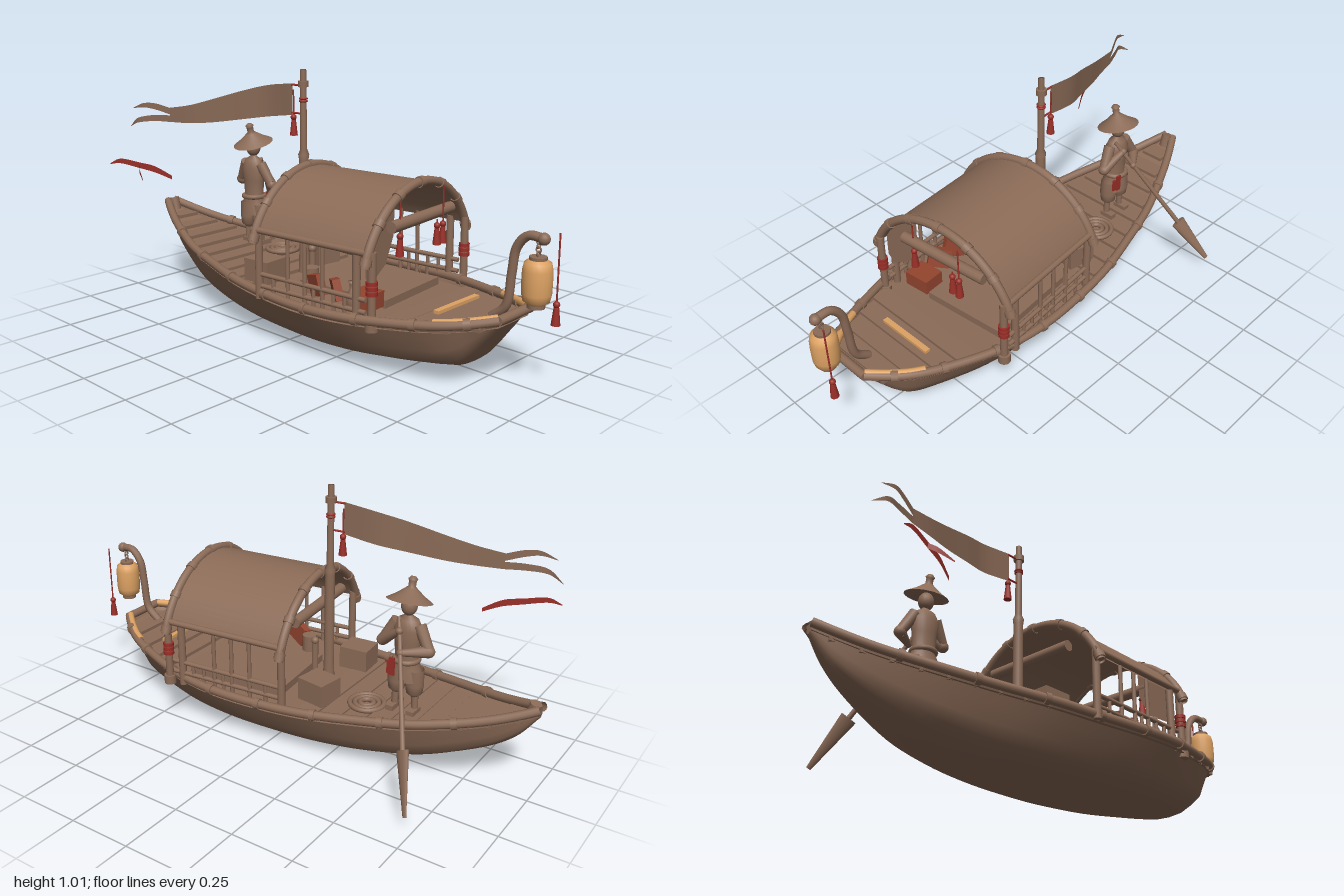
import * as THREE from 'three';

const V = (x, y, z) => new THREE.Vector3(x, y, z);
const brown = new THREE.MeshStandardMaterial({ color: 0x8b6b57, side: THREE.DoubleSide });
brown.name = 'warmBrown';
const red = new THREE.MeshStandardMaterial({ color: 0x9a2f28, side: THREE.DoubleSide });
red.name = 'deepRed';
const glow = new THREE.MeshStandardMaterial({ color: 0xdda263 });
glow.name = 'lanternAmber';
const rust = new THREE.MeshStandardMaterial({ color: 0x94452f });
rust.name = 'rust';

const CX = -0.045; // centre line of the boat

// Stations along the boat: z, half width, rail height, keel height
const stations = [
  [-1, 0.018, 0.355, 0.32], [-0.92, 0.06, 0.325, 0.22], [-0.8, 0.115, 0.29, 0.14], [-0.6, 0.195, 0.253, 0.055],
  [-0.4, 0.25, 0.232, 0.015], [-0.2, 0.298, 0.218, 0.003], [0, 0.322, 0.21, 0], [0.2, 0.332, 0.21, 0.002],
  [0.4, 0.312, 0.218, 0.012], [0.6, 0.25, 0.23, 0.033], [0.72, 0.2, 0.242, 0.06], [0.8, 0.148, 0.254, 0.15], [0.87, 0.09, 0.268, 0.25]];
const railCurve = new THREE.CatmullRomCurve3(stations.map(([z, w, g]) => V(w, g, z)), false, 'catmullrom');
const keelCurve = new THREE.CatmullRomCurve3(stations.map(([z, , , k]) => V(0, k, z)), false, 'catmullrom');

// Half width and rail height at a given z
function railAt(z) {
  let a = 0, b = 1;
  for (let i = 0; i < 24; i++) {
    const m = (a + b) / 2;
    if (railCurve.getPoint(m).z < z) a = m; else b = m;
  }
  return railCurve.getPoint(a);
}

function grid(nu, nv, f) {
  const pos = [], idx = [];
  for (let i = 0; i <= nu; i++) for (let j = 0; j <= nv; j++) pos.push(...f(i / nu, j / nv));
  for (let i = 0; i < nu; i++) for (let j = 0; j < nv; j++) {
    const a = i * (nv + 1) + j, b = a + nv + 1;
    idx.push(a, a + 1, b, b, a + 1, b + 1);
  }
  const g = new THREE.BufferGeometry();
  g.setAttribute('position', new THREE.Float32BufferAttribute(pos, 3));
  g.setIndex(idx);
  g.computeVertexNormals();
  return g;
}

function add(parent, name, geo, mat = brown, x = 0, y = 0, z = 0) {
  const m = new THREE.Mesh(geo, mat);
  m.name = name;
  m.position.set(x, y, z);
  parent.add(m);
  return m;
}
const box = (p, n, s, at, mat, ry = 0) => {
  const m = add(p, n, new THREE.BoxGeometry(...s), mat, ...at);
  m.rotation.y = ry;
  return m;
};
const lathe = (p, n, pts, at, mat) => add(p, n, new THREE.LatheGeometry(pts.map(q => new THREE.Vector2(...q)), 20), mat, ...at);
const tube = (p, n, pts, r, mat, seg = 24) =>
  add(p, n, new THREE.TubeGeometry(new THREE.CatmullRomCurve3(pts.map(q => V(...q))), seg, r, 10), mat);
function rod(p, n, a, b, r0, r1 = r0, mat = brown) {
  const A = V(...a), d = V(...b).sub(A);
  const m = add(p, n, new THREE.CylinderGeometry(r1, r0, d.length(), 12), mat);
  m.position.copy(A).addScaledVector(d, 0.5);
  m.quaternion.setFromUnitVectors(V(0, 1, 0), d.normalize());
  return m;
}
const ball = (p, n, r, at, mat) => add(p, n, new THREE.SphereGeometry(r, 16, 12), mat, ...at);

// String, knot and flared skirt
function tassel(p, x, top, z, bottom) {
  const g = new THREE.Group();
  g.name = 'tassel';
  rod(g, 'tasselString', [x, bottom + 0.07, z], [x, top, z], 0.003, 0.003, red);
  ball(g, 'tasselKnot', 0.012, [x, bottom + 0.072, z], red);
  rod(g, 'tasselSkirt', [x, bottom, z], [x, bottom + 0.062, z], 0.016, 0.009, red);
  p.add(g);
}

// Strip of cloth along a path; rows are x, y, z, half height
function cloth(p, n, rows, mat) {
  const mid = new THREE.CatmullRomCurve3(rows.map(r => V(r[0], r[1], r[2])), false, 'catmullrom');
  const half = new THREE.CatmullRomCurve3(rows.map(r => V(r[3], 0, 0)), false, 'catmullrom');
  return add(p, n, grid(28, 2, (u, v) => {
    const c = mid.getPoint(u);
    return [c.x, c.y + half.getPoint(u).x * (1 - 2 * v), c.z];
  }), mat);
}

function buildHull(root) {
  const g = new THREE.Group();
  g.name = 'hull';
  g.position.x = CX;
  const prof = [[0, 0], [0.25, 0.02], [0.5, 0.12], [0.7, 0.24], [0.8, 0.46], [0.9, 0.72], [1, 1]];
  const section = (t, v) => {
    const s = Math.abs(v * 2 - 1) * 6, i = Math.min(5, Math.floor(s)), f = s - i;
    const r = railCurve.getPoint(t), k = keelCurve.getPoint(t).y;
    const w = prof[i][0] * (1 - f) + prof[i + 1][0] * f, h = prof[i][1] * (1 - f) + prof[i + 1][1] * f;
    return [Math.sign(v - 0.5) * w * r.x, k + h * (r.y - k), r.z];
  };
  add(g, 'hullShell', grid(60, 12, section));
  for (const t of [0, 1]) add(g, 'endPanel', grid(1, 12, (u, v) => {
    const q = section(t, v);
    return [q[0], u ? railCurve.getPoint(t).y : q[1], q[2]];
  }));
  add(g, 'deck', grid(50, 2, (u, v) => {
    const r = railCurve.getPoint(u);
    return [(v * 2 - 1) * r.x, r.y - 0.026, r.z];
  }));
  // Cross planks at the stern and bow
  const plank = z => {
    const r = railAt(z);
    box(g, 'plank', [r.x * 2 - 0.03, 0.014, 0.078], [0, r.y - 0.018, z], brown);
  };
  for (let z = -0.91; z < -0.12; z += 0.09) plank(z);
  for (let z = 0.52; z < 0.82; z += 0.09) plank(z);
  box(g, 'bowSeatStrip', [0.24, 0.012, 0.022], [0.02, 0.238, 0.62], glow);
  // Rails with raised joints
  for (const s of [-1, 1]) {
    const pts = Array.from({ length: 25 }, (_, i) => railCurve.getPoint(i / 24)).map(p => [s * p.x, p.y, p.z]);
    tube(g, 'gunwale', pts, 0.017, brown, 70);
    for (const z of [-0.75, -0.5, -0.25, -0.02, 0.2, 0.42, 0.62, 0.78]) {
      const r = railAt(z), e = railAt(z + 0.02);
      rod(g, 'railJoint', [s * r.x, r.y, z], [s * e.x, e.y, z + 0.02], 0.022);
    }
    tube(g, 'bowTrim', [0.69, 0.74, 0.79, 0.83, 0.865].map(z => {
      const r = railAt(z);
      return [s * (r.x - 0.008), r.y + 0.008, z];
    }), 0.014, glow);
  }
  rod(g, 'bowRail', [-0.095, 0.268, 0.87], [0.095, 0.268, 0.87], 0.017);
  rod(g, 'sternCap', [0, 0.315, -0.965], [0, 0.37, -0.98], 0.022);
  root.add(g);
}

function buildCabin(root) {
  const g = new THREE.Group();
  g.name = 'cabin';
  g.position.set(-0.042, 0, 0.185);
  g.rotation.y = 0.1;
  const arc = (R, a, z) => [R * Math.sin(a), 0.3 + R * Math.cos(a), z];
  // Arched roof with a thin inner layer
  for (const R of [0.348, 0.338]) add(g, 'canopy', grid(32, 1, (u, v) => arc(R, (u * 2 - 1) * 1.14, v * 0.5 - 0.25)));
  for (const z of [-0.255, 0.255]) {
    tube(g, 'archRib', Array.from({ length: 17 }, (_, i) => arc(0.35, -1.26 + i * 0.1575, z)), 0.017, brown, 48);
    for (const a of [-1.2, -0.8, -0.4, 0, 0.4, 0.8, 1.2])
      rod(g, 'ribJoint', arc(0.35, a - 0.035, z), arc(0.35, a + 0.035, z), 0.021);
    rod(g, 'crossBeam', [-0.18, 0.518, z], [0.21, 0.518, z], 0.022);
  }
  for (const s of [-1, 1]) {
    rod(g, 'eavePole', [s * 0.315, 0.455, -0.27], [s * 0.315, 0.455, 0.25], 0.012);
    for (const y of [0.24, 0.285]) rod(g, 'sideRail', [s * 0.305, y, -0.24], [s * 0.305, y, 0.24], 0.009);
    for (const z of [-0.25, 0.2, 0.265]) rod(g, 'post', [s * 0.305, 0.19, z], [s * 0.305, 0.46, z], 0.015);
    for (const z of [-0.11, -0.03, 0.05]) rod(g, 'slimPost', [s * 0.305, 0.2, z], [s * 0.305, 0.455, z], 0.008);
    for (const z of [-0.18, 0.01, 0.1, 0.15]) rod(g, 'baluster', [s * 0.305, 0.2, z], [s * 0.305, 0.285, z], 0.007);
    for (const y of [0.315, 0.333, 0.351]) rod(g, 'postBinding', [s * 0.305, y - 0.007, 0.265], [s * 0.305, y + 0.007, 0.265], 0.021, 0.021, red);
    rod(g, 'postFoot', [s * 0.305, 0.18, 0.265], [s * 0.305, 0.215, 0.265], 0.024);
  }
  // Gathered curtain at one side of the front opening
  const curtain = new THREE.Shape([[-0.3, 0.45], [-0.25, 0.53], [-0.2, 0.58], [-0.13, 0.62], [-0.135, 0.48], [-0.18, 0.385], [-0.27, 0.33], [-0.3, 0.36]].map(q => new THREE.Vector2(...q)));
  add(g, 'curtain', new THREE.ShapeGeometry(curtain), brown, 0, 0, 0.235);
  box(g, 'floorMat', [0.36, 0.03, 0.4], [0.05, 0.212, 0], brown);
  root.add(g);
  for (const [x, top] of [[-0.145, 0.62], [0.1, 0.62], [0.065, 0.5]]) tassel(root, x, top, 0.455, 0.405);
}

function buildCargo(root) {
  const g = new THREE.Group();
  g.name = 'cargo';
  box(g, 'crate', [0.11, 0.09, 0.12], [-0.235, 0.25, -0.15], brown, 0.08);
  box(g, 'crate', [0.11, 0.09, 0.12], [0.1, 0.25, -0.175], brown, -0.15);
  box(g, 'redChest', [0.11, 0.06, 0.09], [-0.22, 0.24, 0.36], rust, 0.1);
  const c1 = box(g, 'cushion', [0.09, 0.08, 0.03], [-0.25, 0.26, 0.25], rust, 0.9);
  const c2 = box(g, 'cushion', [0.09, 0.08, 0.03], [-0.26, 0.26, 0.16], rust, 1.2);
  c1.rotation.x = c2.rotation.x = -0.3;
  rod(g, 'jar', [-0.2, 0.2, 0.07], [-0.2, 0.295, 0.07], 0.03);
  rod(g, 'bollard', [-0.105, 0.2, -0.02], [-0.105, 0.32, -0.02], 0.013);
  ball(g, 'bollardKnob', 0.016, [-0.105, 0.33, -0.02]);
  lathe(g, 'bottle', [[0, 0], [0.02, 0], [0.021, 0.05], [0.008, 0.075], [0.008, 0.095], [0.014, 0.105], [0, 0.105]], [-0.29, 0.22, 0.36]);
  for (const r of [0.065, 0.045, 0.025])
    add(g, 'ropeCoil', new THREE.TorusGeometry(r, 0.01, 8, 28), brown, 0.06, 0.228, -0.365).rotation.x = Math.PI / 2;
  root.add(g);
}

function buildMast(root) {
  const g = new THREE.Group();
  g.name = 'mast';
  const z = -0.125;
  lathe(g, 'mastPole', [[0.024, 0.2], [0.02, 0.3], [0.019, 0.66], [0.022, 0.68], [0.014, 0.7], [0.012, 1.012], [0, 1.012]], [CX, 0, z]);
  rod(g, 'mastCollar', [CX, 0.945, z], [CX, 0.968, z], 0.021);
  for (const y of [0.89, 0.9]) add(g, 'mastBinding', new THREE.TorusGeometry(0.014, 0.004, 8, 16), red, CX, y, z).rotation.x = Math.PI / 2;
  for (const y of [0.84, 0.95]) rod(g, 'flagTie', [CX, y, z], [-0.05, y, -0.185], 0.004, 0.004, red);
  // Swallow-tailed pennant
  cloth(g, 'flag', [[-0.05, 0.893, -0.18, 0.062], [-0.06, 0.876, -0.31, 0.063], [-0.1, 0.853, -0.42, 0.058], [-0.15, 0.822, -0.55, 0.048], [-0.19, 0.802, -0.65, 0.038], [-0.22, 0.792, -0.75, 0.03]], brown);
  cloth(g, 'flagTail', [[-0.22, 0.808, -0.75, 0.014], [-0.25, 0.825, -0.81, 0.013], [-0.275, 0.828, -0.86, 0.009], [-0.285, 0.812, -0.92, 0.001]], brown);
  cloth(g, 'flagTail', [[-0.22, 0.776, -0.75, 0.014], [-0.25, 0.775, -0.82, 0.013], [-0.285, 0.762, -0.89, 0.01], [-0.28, 0.73, -0.95, 0.001]], brown);
  tassel(g, CX, 0.93, -0.18, 0.75);
  root.add(g);
  cloth(root, 'redRibbon', [[-0.3, 0.55, -0.645, 0.008], [-0.335, 0.58, -0.71, 0.013], [-0.365, 0.593, -0.78, 0.012], [-0.4, 0.605, -0.86, 0.01], [-0.42, 0.59, -0.91, 0.002]], red);
  cloth(root, 'redRibbonTail', [[-0.365, 0.59, -0.78, 0.01], [-0.385, 0.575, -0.75, 0.01], [-0.405, 0.545, -0.7, 0.003]], red);
}

function buildLantern(root) {
  const g = new THREE.Group();
  g.name = 'bowLantern';
  tube(g, 'lanternArm', [[CX, 0.24, 0.78], [CX, 0.29, 0.835], [CX, 0.41, 0.853], [CX, 0.5, 0.868], [CX, 0.547, 0.91], [CX, 0.548, 0.965]], 0.016, brown, 32);
  ball(g, 'armTip', 0.021, [CX, 0.546, 0.968]);
  lathe(g, 'lanternBody', [[0.03, 0.325], [0.045, 0.335], [0.05, 0.36], [0.051, 0.4], [0.05, 0.44], [0.045, 0.465], [0.03, 0.475]], [CX, 0, 0.95], glow);
  for (const y of [0.318, 0.478]) rod(g, 'lanternCap', [CX, y - 0.007, 0.95], [CX, y + 0.007, 0.95], 0.03);
  for (let i = 0; i < 4; i++)
    add(g, 'chainLink', new THREE.TorusGeometry(0.009, 0.003, 6, 12), brown, CX, 0.493 + i * 0.014, 0.95).rotation.y = i % 2 * Math.PI / 2;
  tassel(g, 0.025, 0.555, 0.985, 0.24);
  root.add(g);
}

function buildBoatman(root) {
  const g = new THREE.Group();
  g.name = 'boatman';
  g.position.set(0.03, 0.23, -0.508);
  g.rotation.y = Math.PI / 2;
  for (const s of [-1, 1]) {
    rod(g, 'shin', [s * 0.042, 0.01, 0], [s * 0.04, 0.09, 0], 0.013);
    box(g, 'shoe', [0.03, 0.02, 0.06], [s * 0.043, 0.012, 0.012], brown);
    lathe(g, 'trouserLeg', [[0.014, 0.07], [0.03, 0.085], [0.035, 0.12], [0.033, 0.18]], [s * 0.037, 0, 0]);
    const elbow = [s * 0.095, 0.27, 0.015], hand = s > 0 ? [0.015, 0.27, 0.08] : [-0.012, 0.335, 0.045];
    rod(g, 'upperArm', [s * 0.045, 0.355, 0], elbow, 0.024, 0.02);
    rod(g, 'forearm', elbow, hand, 0.023, 0.012);
    ball(g, 'elbow', 0.022, elbow);
    ball(g, 'hand', 0.014, hand);
  }
  lathe(g, 'tunic', [[0.066, 0.135], [0.058, 0.18], [0.045, 0.215], [0.05, 0.28], [0.056, 0.335], [0.04, 0.37], [0.016, 0.385], [0.014, 0.41]], [0, 0, 0]).scale.z = 0.75;
  add(g, 'sash', new THREE.TorusGeometry(0.044, 0.01, 8, 20), brown, 0, 0.212, 0).rotation.x = Math.PI / 2;
  box(g, 'sashEnd', [0.022, 0.07, 0.008], [-0.035, 0.19, 0.048], red);
  box(g, 'sashEnd', [0.014, 0.05, 0.008], [-0.052, 0.18, 0.04], red);
  ball(g, 'head', 0.03, [0, 0.42, 0]).scale.y = 1.2;
  const hat = lathe(g, 'strawHat', [[0.085, 0], [0.05, 0.022], [0.022, 0.045], [0.014, 0.052], [0.014, 0.072], [0.018, 0.078], [0.01, 0.088], [0, 0.089]], [0, 0.44, 0]);
  hat.rotation.x = -0.25;
  root.add(g);
  // Long steering oar with a flat blade
  const oar = new THREE.Group();
  oar.name = 'oar';
  rod(oar, 'oarShaft', [0.045, 0.605, -0.477], [0.31, 0.19, -0.658], 0.008, 0.01);
  rod(oar, 'oarBlade', [0.285, 0.23, -0.641], [0.4, 0.05, -0.72], 0.009, 0.031).scale.z = 0.4;
  const blade = oar.children[1];
  blade.geometry.rotateX(Math.PI);
  root.add(oar);
}

export function createModel() {
  const root = new THREE.Group();
  root.name = 'riverBoat';
  for (const build of [buildHull, buildCabin, buildCargo, buildMast, buildLantern, buildBoatman]) build(root);
  return root;
}
